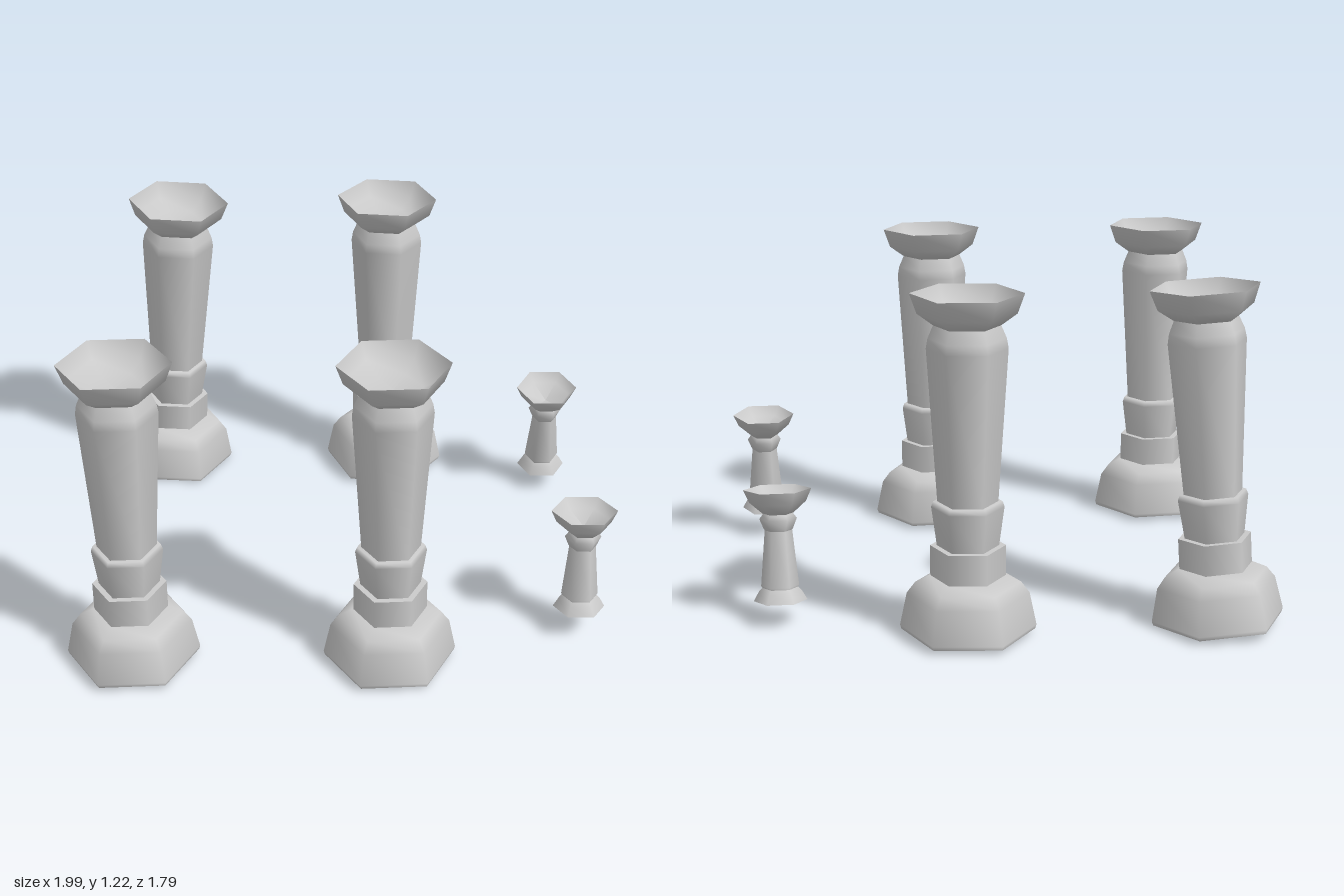
import * as THREE from 'three';

const material = new THREE.MeshStandardMaterial({ color: 0xcccccc, side: THREE.DoubleSide });

// Six-sided smooth shell from [radius, height] points, corners on the x axis
function hexShell(name, points) {
  const geometry = new THREE.LatheGeometry(points.map(([r, y]) => new THREE.Vector2(r, y)), 6);
  geometry.rotateY(Math.PI / 6);
  const mesh = new THREE.Mesh(geometry, material);
  mesh.name = name;
  return mesh;
}

// Profiles run from the bottom upwards along the outside
const columnParts = {
  baseUnderside: [[0, 0.035], [0.235, 0.02]],
  base: [[0.235, 0.02], [0.24, 0.035], [0.215, 0.155], [0.185, 0.195], [0.135, 0.22], [0, 0.22]],
  plinth: [[0.132, 0.2], [0.132, 0.33]],
  plinthTop: [[0.132, 0.33], [0, 0.33]],
  collar: [[0.107, 0.32], [0.127, 0.47], [0.12, 0.49], [0, 0.49]],
  shaft: [[0.105, 0.48], [0.14, 1.03], [0.134, 1.065], [0.115, 1.11]],
  capital: [[0, 1.11], [0.115, 1.11], [0.17, 1.15], [0.195, 1.22]],
  capitalBowl: [[0.195, 1.22], [0.165, 1.16], [0.1, 1.13], [0, 1.125]],
};

const pedestalParts = {
  foot: [[0.06, 0.05], [0.075, 0.035], [0.095, 0]].reverse(),
  footUnderside: [[0, 0.02], [0.095, 0]],
  shaft: [[0.055, 0.03], [0.067, 0.055], [0.047, 0.27]],
  collar: [[0.046, 0.25], [0.052, 0.26], [0.066, 0.295], [0.055, 0.31], [0.052, 0.33]],
  capital: [[0, 0.315], [0.055, 0.315], [0.1, 0.355], [0.12, 0.4]],
  capitalBowl: [[0.12, 0.4], [0.09, 0.365], [0, 0.335]],
};

// Place a pillar at its foot; turn spins it, leanX and leanZ tip it sideways and forwards
function pillar(name, parts, [x, y, z], turn, leanX = 0, leanZ = 0) {
  const group = new THREE.Group();
  group.name = name;
  for (const [part, points] of Object.entries(parts)) group.add(hexShell(part, points));
  group.position.set(x, y, z);
  group.rotation.set(leanZ, turn, -leanX, 'XZY');
  return group;
}

export function createModel() {
  const model = new THREE.Group();
  model.name = 'pillars';
  model.add(
    // Tall columns
    pillar('frontRightColumn', columnParts, [-0.76, 0, 0.677], 0.065),
    pillar('frontLeftColumn', columnParts, [0.17, 0, 0.675], 0.065),
    pillar('backLeftColumn', columnParts, [0.165, 0, -0.68], -0.11),
    pillar('backRightLeaningColumn', columnParts, [-0.73, 0, -0.69], 0.02, 0.06, 0.037),
    // Small leaning pedestals
    pillar('frontPedestal', pedestalParts, [0.87, 0.112, 0.513], 0, 0, -0.085),
    pillar('backPedestal', pedestalParts, [0.818, 0.09, -0.508], 0, 0, 0.14),
  );
  return model;
}
